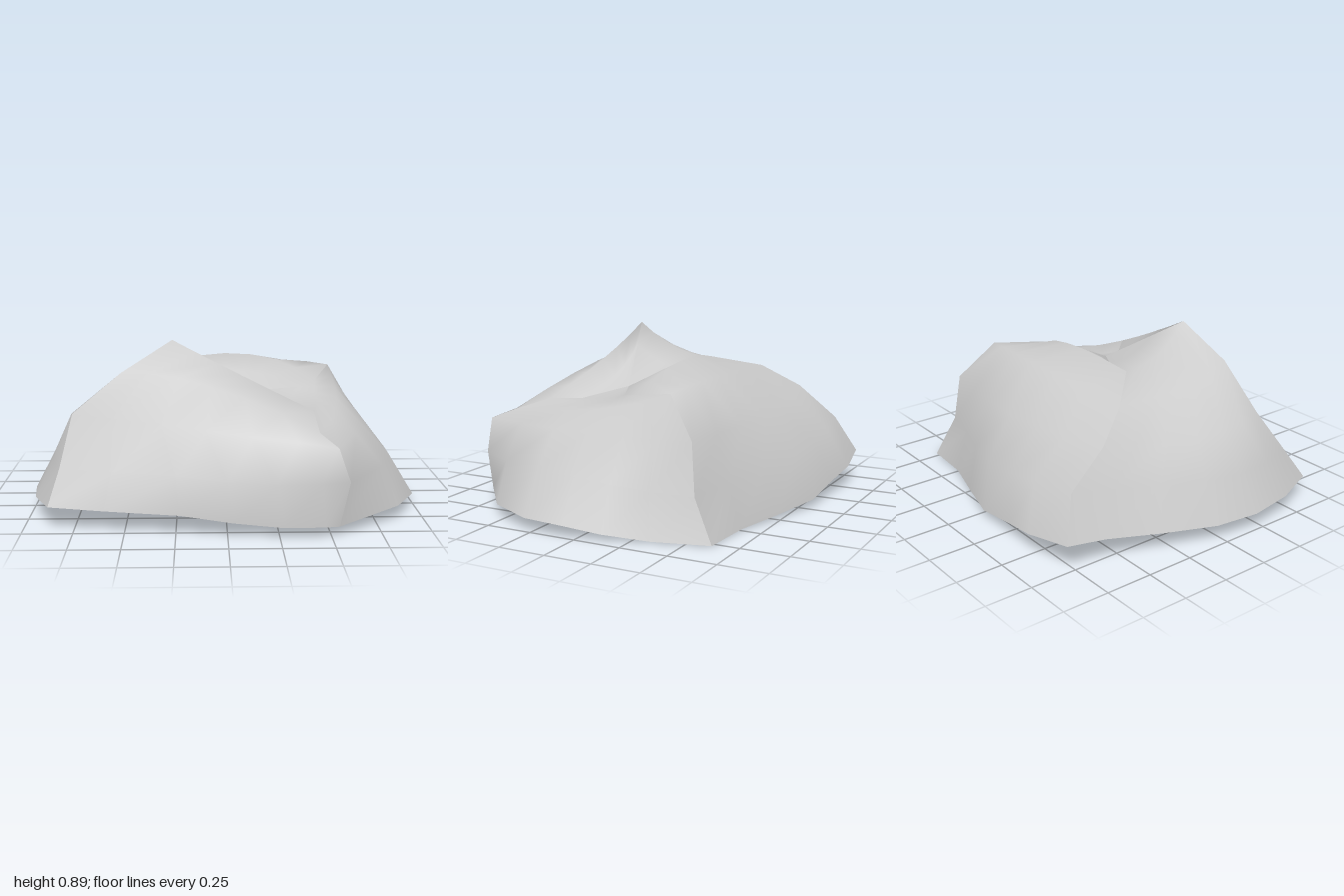
import * as THREE from 'three';

const SEG = 6;
const APEX = [0.18, 0.6, 0.16];

// Four ridges, each climbing from a base corner to the shared hollow on top.
const ridges = {
  frontRight: [[-0.88, 0.11, 0.67], [-0.83, 0.28, 0.56], [-0.78, 0.52, 0.39], [-0.53, 0.73, 0.39], [-0.27, 0.89, 0.33], [-0.1, 0.78, 0.265], APEX],
  frontLeft: [[0.54, 0.045, 0.81], [0.59, 0.26, 0.8], [0.53, 0.43, 0.81], [0.45, 0.48, 0.69], [0.44, 0.55, 0.49], [0.33, 0.54, 0.37], APEX],
  backLeft: [[0.78, 0, -0.62], [0.74, 0.21, -0.51], [0.71, 0.47, -0.48], [0.6, 0.665, -0.31], [0.5, 0.62, -0.05], [0.42, 0.6, 0.05], APEX],
  backRight: [[-0.77, 0.155, -0.81], [-0.67, 0.36, -0.71], [-0.645, 0.53, -0.5], [-0.53, 0.65, -0.31], [-0.31, 0.715, -0.09], [-0.07, 0.675, -0.01], APEX],
};

// Each face lies between two ridges; base is its foot, mid its centre line.
const faces = [
  {
    name: 'frontFace', from: 'frontRight', to: 'frontLeft',
    base: [[-0.6, 0.105, 0.73], [-0.23, 0.095, 0.78], [0.03, 0.07, 0.83], [0.27, 0.05, 0.845], [0.47, 0.05, 0.84]],
    mid: [[0.0, 0.27, 0.81], [-0.1, 0.49, 0.67], [-0.08, 0.68, 0.51], [0.08, 0.715, 0.385], [0.12, 0.64, 0.28]],
  },
  {
    name: 'leftFace', from: 'frontLeft', to: 'backLeft',
    base: [[0.87, 0.07, 0.54], [0.99, 0.065, 0.29], [1, 0.06, 0.07], [0.95, 0.03, -0.12], [0.87, 0.005, -0.34]],
    mid: [[0.87, 0.27, 0.08], [0.72, 0.46, 0.08], [0.6, 0.55, 0.12], [0.48, 0.56, 0.17], [0.35, 0.56, 0.19]],
  },
  {
    name: 'backFace', from: 'backLeft', to: 'backRight',
    base: [[0.5, 0.005, -0.645], [0.23, 0.02, -0.73], [-0.05, 0.04, -0.815], [-0.31, 0.08, -0.825], [-0.51, 0.12, -0.85]],
    mid: [[0.02, 0.27, -0.73], [0.05, 0.48, -0.575], [0.16, 0.69, -0.36], [0.15, 0.75, -0.13], [0.18, 0.67, 0.02]],
  },
  {
    name: 'rightFace', from: 'backRight', to: 'frontRight',
    base: [[-0.79, 0.13, -0.6], [-0.88, 0.105, -0.32], [-0.97, 0.09, -0.04], [-1, 0.09, 0.2], [-0.97, 0.1, 0.44]],
    mid: [[-0.87, 0.29, -0.03], [-0.77, 0.48, 0], [-0.55, 0.66, 0.05], [-0.3, 0.75, 0.12], [-0.1, 0.7, 0.12]],
  },
];

const material = new THREE.MeshStandardMaterial({ color: 0xcccccc });

function buildMesh(name, points, index) {
  const geometry = new THREE.BufferGeometry();
  geometry.setAttribute('position', new THREE.Float32BufferAttribute(points.flat(), 3));
  geometry.setIndex(index);
  geometry.computeVertexNormals();
  const mesh = new THREE.Mesh(geometry, material);
  mesh.name = name;
  return mesh;
}

// Parabola through the two ridge points and the centre-line point.
function across(a, m, b, u) {
  return a.map((v, k) => v * (1 - u) + b[k] * u + 4 * u * (1 - u) * (m[k] - (v + b[k]) / 2));
}

function footOf(face) {
  return [ridges[face.from][0], ...face.base, ridges[face.to][0]];
}

function createFace(face) {
  const from = ridges[face.from];
  const to = ridges[face.to];
  const foot = footOf(face);
  const mid = [foot[SEG / 2], ...face.mid];
  const points = [];
  const index = [];
  for (let j = 0; j < SEG; j++) {
    const fade = (1 - j / SEG) ** 3;
    for (let i = 0; i <= SEG; i++) {
      const u = i / SEG;
      const p = across(from[j], mid[j], to[j], u);
      // Pull the lower rows onto the irregular foot outline.
      const q = across(from[0], mid[0], to[0], u);
      points.push(p.map((v, k) => v + fade * (foot[i][k] - q[k])));
    }
  }
  points.push(APEX);
  const row = SEG + 1;
  const top = points.length - 1;
  for (let j = 0; j < SEG; j++) {
    for (let i = 0; i < SEG; i++) {
      const a = j * row + i;
      if (j === SEG - 1) index.push(a, a + 1, top);
      else index.push(a, a + 1, a + row + 1, a, a + row + 1, a + row);
    }
  }
  return buildMesh(face.name, points, index);
}

// Underside: a fan closing the foot outline.
function createUnderside() {
  const loop = faces.flatMap((face) => footOf(face).slice(0, SEG));
  const n = loop.length;
  const index = [];
  for (let i = 0; i < n; i++) index.push(n, (i + 1) % n, i);
  return buildMesh('underside', [...loop, [0, 0.06, 0]], index);
}

export function createModel() {
  const rock = new THREE.Group();
  rock.name = 'rock';
  faces.forEach((face) => rock.add(createFace(face)));
  rock.add(createUnderside());
  return rock;
}
